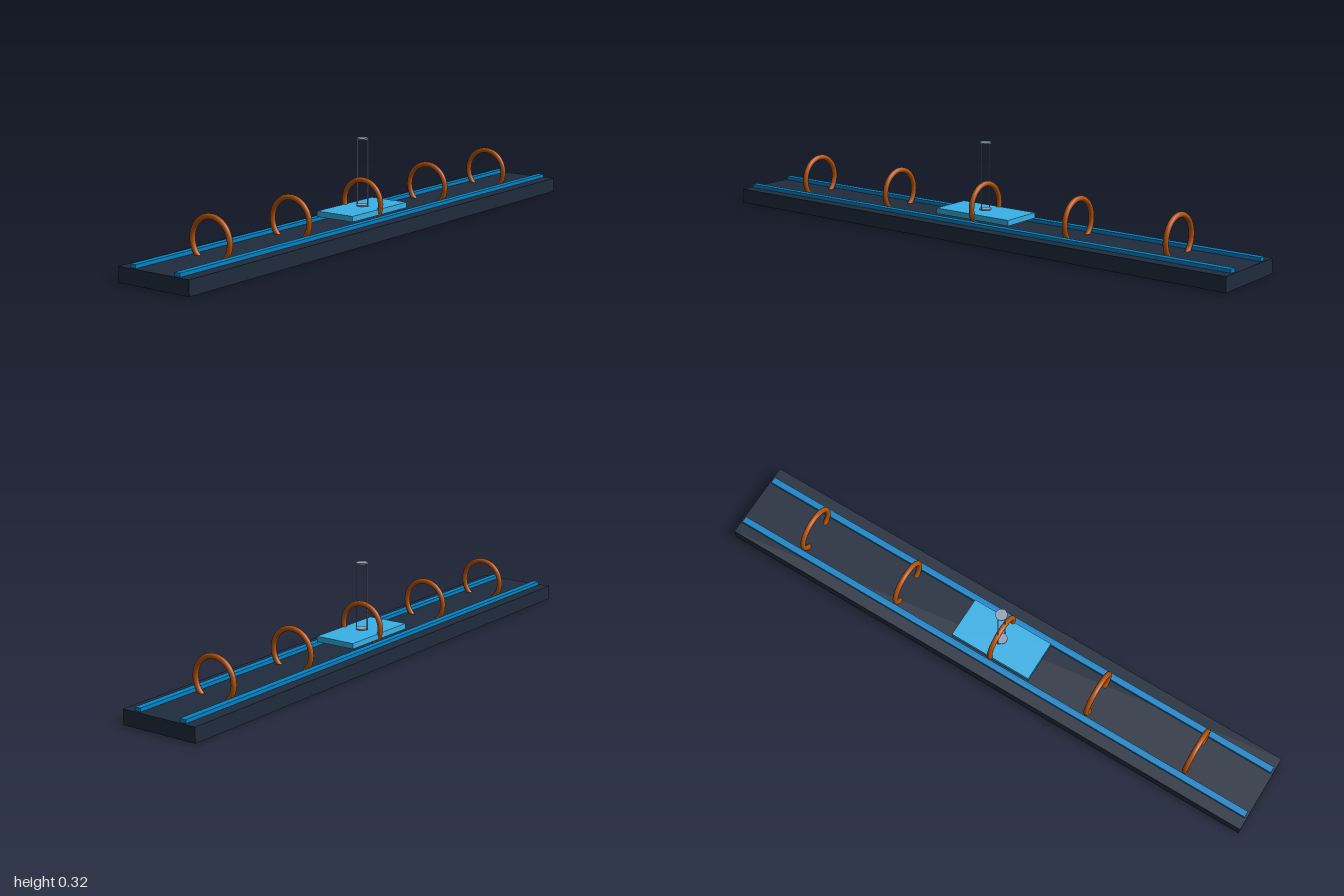
import * as THREE from 'three';

const material = (name, color) => {
  const m = new THREE.MeshStandardMaterial({ color });
  m.name = name;
  return m;
};

export function createModel() {
  const model = new THREE.Group();
  model.name = 'ringTrack';

  const navy = material('dark navy', 0x1f2b3d);
  const blue = material('rail blue', 0x0284c7);
  const sky = material('sky blue', 0x38b2e8);
  const copper = material('copper', 0xb45309);
  const grey = material('steel grey', 0x94a3b8);

  const add = (name, geometry, mat, x, y, z) => {
    const mesh = new THREE.Mesh(geometry, mat);
    mesh.name = name;
    mesh.position.set(x, y, z);
    model.add(mesh);
    return mesh;
  };

  // Base slab
  add('base', new THREE.BoxGeometry(2, 0.05, 0.28), navy, 0, 0.025, 0);

  // Pair of rails along the slab
  const rail = new THREE.BoxGeometry(1.985, 0.012, 0.022);
  for (const side of [-1, 1]) add('rail', rail, blue, 0, 0.056, side * 0.088);

  // Coil rings, sunk into the slab
  const ring = new THREE.TorusGeometry(0.075, 0.009, 16, 48);
  for (let i = -2; i <= 2; i++) {
    add('coilRing', ring, copper, i * 0.375, 0.1, 0).rotation.y = Math.PI / 2;
  }

  // Floating carriage plate
  add('carriage', new THREE.BoxGeometry(0.3, 0.019, 0.146), sky, 0, 0.0755, 0);

  // Mast: two rods with a disc at each end
  const rod = new THREE.CylinderGeometry(0.002, 0.002, 0.225, 12);
  for (const side of [-1, 1]) add('mastRod', rod, grey, 0, 0.2005, side * 0.022);
  const disc = new THREE.CylinderGeometry(0.02, 0.02, 0.004, 24);
  for (const y of [0.09, 0.314]) add('mastDisc', disc, grey, 0, y, 0);

  return model;
}
